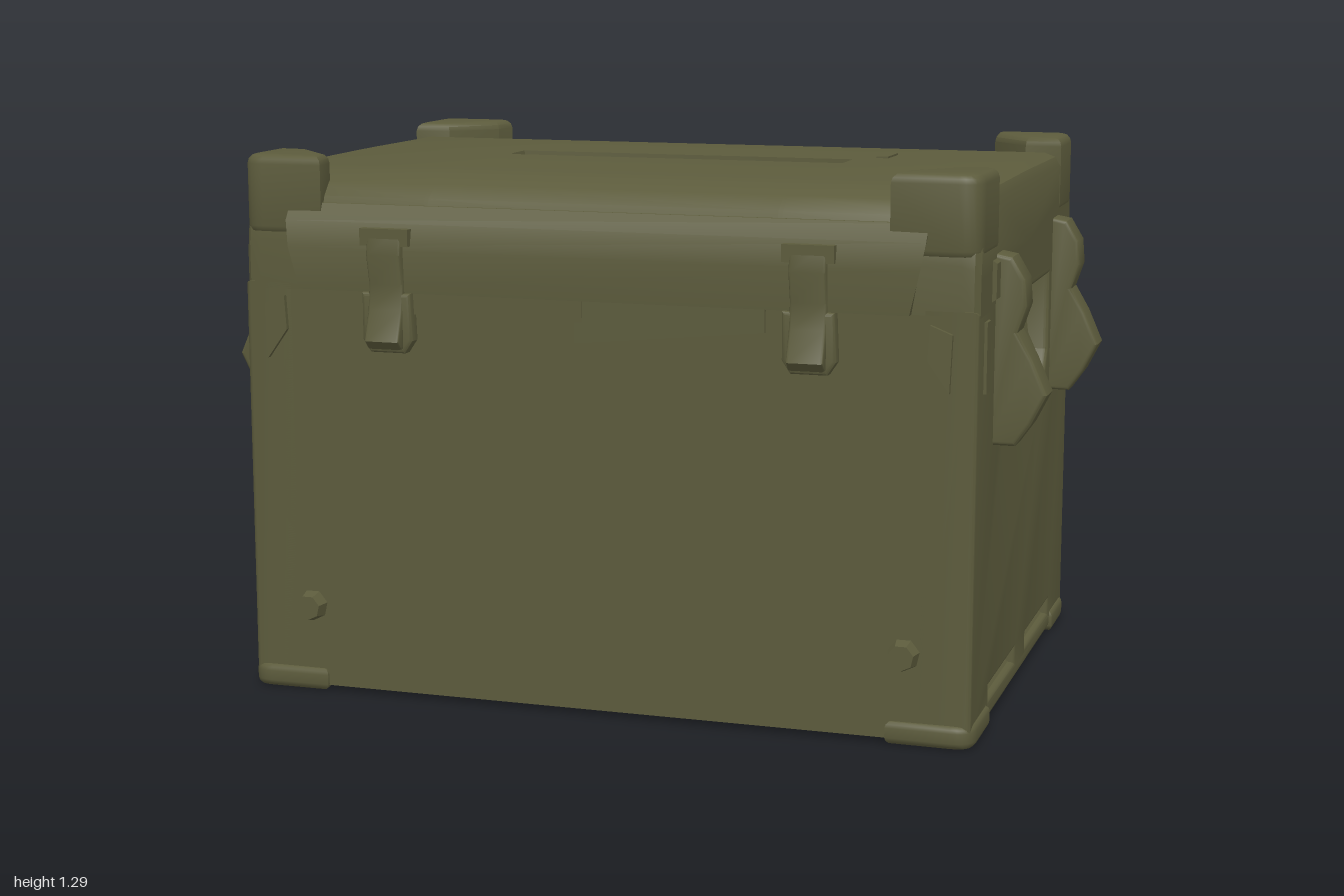
import * as THREE from 'three';
import { toCreasedNormals } from 'three/addons/utils/BufferGeometryUtils.js';

const olive = new THREE.MeshStandardMaterial({ color: 0x5c5b3c });
olive.name = 'olive drab';

function add(parent, name, geometry) {
  const mesh = new THREE.Mesh(toCreasedNormals(geometry, 0.6), olive);
  mesh.name = name;
  parent.add(mesh);
  return mesh;
}

const vectors = (pts) => pts.map(([x, y]) => new THREE.Vector2(x, y));
const polygon = (pts) => new THREE.Shape(vectors(pts));

// Extrusion of an outline, centred on its depth, with an optional bevel kept inside the outline
function slab(shape, depth, bevel = 0) {
  return new THREE.ExtrudeGeometry(shape, {
    depth: depth - 2 * bevel, bevelEnabled: bevel > 0, bevelThickness: bevel,
    bevelSize: bevel, bevelOffset: -bevel, bevelSegments: 3, curveSegments: 6,
  }).translate(0, 0, bevel - depth / 2);
}

// Skin over cross-sections (loops of [x, y, z] with equal counts), closed at both ends
function loft(sections) {
  const n = sections[0].length, pos = [], idx = [];
  sections.forEach((s) => s.forEach((p) => pos.push(...p)));
  for (let s = 0; s < sections.length - 1; s++) {
    for (let i = 0; i < n; i++) {
      const a = s * n + i, b = s * n + (i + 1) % n;
      idx.push(a, a + n, b, b, a + n, b + n);
    }
  }
  [0, sections.length - 1].forEach((s) => {
    const c = pos.length / 3;
    pos.push(sections[s][0][0], 1.08, 0);
    for (let i = 0; i < n; i++) {
      const a = s * n + i, b = s * n + (i + 1) % n;
      if (s === 0) idx.push(c, a, b); else idx.push(c, b, a);
    }
  });
  const g = new THREE.BufferGeometry();
  g.setAttribute('position', new THREE.Float32BufferAttribute(pos, 3));
  g.setIndex(idx);
  g.computeVertexNormals();
  return g;
}

// Lid section at x; the middle carries the grip groove
function lidSection(x, inset, drop, grooved) {
  const d = grooved ? 0.05 : 0;
  const half = [[0.62, 0.975], [0.62, 1.09], [0.612, 1.15], [0.59, 1.195], [0.55, 1.225], [0.49, 1.245], [0.42, 1.253]];
  const top = [[0.05, 1.255], [0.03, 1.255 - d * 0.4], [-0.055, 1.255 - d], [-0.06, 1.255]];
  const back = half.slice().reverse().map(([z, y]) => [-z, y]);
  return [...half, ...top, ...back].map(([z, y]) =>
    [x, y > 1 ? y - drop : y, z - Math.sign(z) * (Math.abs(z) > 0.4 ? inset : 0)]);
}

// Mirror a corner part into any of the four corners, keeping the faces outward
function toCorner(g, sx, sz) {
  const c = g.clone().scale(sx, 1, sz);
  if (sx * sz < 0) {
    const p = c.attributes.position;
    for (let i = 0; i < p.count; i += 3) {
      const a = new THREE.Vector3().fromBufferAttribute(p, i + 1);
      const b = new THREE.Vector3().fromBufferAttribute(p, i + 2);
      p.setXYZ(i + 1, b.x, b.y, b.z);
      p.setXYZ(i + 2, a.x, a.y, a.z);
    }
  }
  return c;
}

export function createModel() {
  const model = new THREE.Group();
  model.name = 'coolerBox';

  // Body core and the two end walls with their pockets
  add(model, 'bodyCore', new THREE.BoxGeometry(1.62, 0.967, 1.24).translate(0, 0.4965, 0));
  const wall = polygon([[-0.62, 0.013], [0.62, 0.013], [0.62, 0.99], [-0.62, 0.99]]);
  wall.holes.push(new THREE.Path(vectors(
    [[-0.27, 0.722], [-0.3, 0.77], [-0.3, 0.96], [0.3, 0.96], [0.3, 0.77], [0.27, 0.722]])));
  [-1, 1].forEach((s) => wall.holes.push(new THREE.Path(vectors(
    [[s * 0.072, 0.055], [s * 0.072, 0.09], [s * 0.408, 0.09], [s * 0.408, 0.055]]))));

  [1, -1].forEach((side) => {
    const end = new THREE.Group();
    end.name = side > 0 ? 'leftEnd' : 'rightEnd';
    end.rotation.y = side > 0 ? 0 : Math.PI;
    model.add(end);
    add(end, 'endWall', slab(wall, 0.13, 0.012).rotateY(Math.PI / 2).translate(0.815, 0, 0));

    // Sloping floors of the grip pocket and the two lower slots
    add(end, 'pocketFloor', slab(polygon([[0.80, 0.70], [0.875, 0.712], [0.83, 0.81], [0.812, 0.95], [0.80, 0.95]]), 0.61));
    [-1, 1].forEach((s) => {
      add(end, 'slotFloor', slab(polygon([[0.80, 0.03], [0.875, 0.04], [0.825, 0.10], [0.80, 0.10]]), 0.35)
        .translate(0, 0, s * 0.24));

      // Bracket with a bulging top and a flared lower lobe
      add(end, 'handleBracket', slab(polygon([[0.86, 0.66], [0.93, 0.66], [0.965, 0.71], [1.0, 0.78], [0.965, 0.86],
        [0.93, 0.92], [0.95, 0.98], [0.945, 1.04], [0.915, 1.09], [0.86, 1.10]]), 0.09, 0.01)
        .translate(0, 0, s * 0.38));
      add(end, 'bracketPlate', slab(polygon([[0.86, 0.98], [0.89, 1.0], [0.89, 1.08], [0.86, 1.1]]), 0.06)
        .translate(0, 0, s * 0.44));
      // Narrow raised rib near the upright edge
      add(end, 'sideRib', new THREE.BoxGeometry(0.02, 0.16, 0.045).translate(0.877, 0.88, s * 0.53));
    });
  });

  // Lid
  add(model, 'lid', loft([
    lidSection(-0.88, 0.02, 0.03, false), lidSection(-0.868, 0.006, 0.01, false), lidSection(-0.84, 0, 0, false),
    lidSection(-0.43, 0, 0, false), lidSection(-0.42, 0, 0, true),
    lidSection(0.42, 0, 0, true), lidSection(0.43, 0, 0, false),
    lidSection(0.84, 0, 0, false), lidSection(0.868, 0.006, 0.01, false), lidSection(0.88, 0.02, 0.03, false),
  ]));
  // Raised tab behind the end of the grip groove
  add(model, 'gripTab', new THREE.BoxGeometry(0.03, 0.012, 0.11).translate(0.49, 1.253, -0.17));

  // Corner guards on the lid and feet below
  const corner = polygon([[0.68, 0.62], [0.69, 0.545], [0.79, 0.43], [0.882, 0.42], [0.882, 0.57]]);
  corner.quadraticCurveTo(0.882, 0.622, 0.83, 0.622);
  const guard = slab(corner, 0.19, 0.022).rotateX(Math.PI / 2).translate(0, 1.195, 0);
  const foot = slab(corner, 0.055, 0.016).rotateX(Math.PI / 2).translate(0.006, 0.0275, 0.01);
  [-1, 1].forEach((sx) => [-1, 1].forEach((sz) => {
    add(model, 'cornerGuard', toCorner(guard, sx, sz));
    add(model, 'cornerFoot', toCorner(foot, sx, sz));
  }));

  // Lip along the lid edge, widening towards the top
  const lip = slab(polygon([[-0.60, 0.98], [-0.642, 0.98], [-0.648, 1.08], [-0.635, 1.14], [-0.608, 1.18], [-0.58, 1.18]]), 1.46)
    .rotateY(Math.PI / 2);
  const lipPos = lip.attributes.position;
  for (let i = 0; i < lipPos.count; i++) {
    lipPos.setX(i, lipPos.getX(i) * (1 + 0.33 * Math.min(lipPos.getY(i) - 0.98, 0.14)));
  }
  const latchProfile = polygon([[-0.60, 0.85], [-0.665, 0.85], [-0.685, 0.87], [-0.66, 0.94], [-0.652, 1.0],
    [-0.668, 1.07], [-0.655, 1.13], [-0.60, 1.13]]);

  // Front and back fittings
  ['front', 'back'].forEach((name, i) => {
    const face = new THREE.Group();
    face.name = name + 'Fittings';
    face.rotation.y = i * Math.PI;
    model.add(face);
    add(face, 'lidLip', lip);
    // Seal wedges showing under the lip
    add(face, 'sealLeft', slab(polygon([[-0.45, 0.93], [-0.03, 0.93], [-0.03, 0.985], [-0.45, 0.985]]), 0.026)
      .translate(0, 0, 0.62));
    add(face, 'sealRight', slab(polygon([[-0.05, 0.88], [0.4, 0.925], [0.4, 0.985], [-0.05, 0.985]]), 0.02)
      .translate(0, 0, 0.62));
    [-1, 1].forEach((s) => {
      const latch = new THREE.Group();
      latch.name = 'latch';
      latch.position.x = s * 0.505;
      face.add(latch);
      add(latch, 'latchArm', slab(latchProfile, 0.085, 0.006).rotateY(Math.PI / 2));
      add(latch, 'latchPlate', slab(polygon([[-0.06, 1.09], [0.06, 1.09], [0.06, 1.13], [-0.06, 1.13]]), 0.03)
        .translate(0, 0, 0.645));
      add(latch, 'latchPull', slab(polygon([[-0.04, 0.84], [0.045, 0.84], [0.065, 0.87], [0.06, 0.98], [-0.06, 0.98], [-0.06, 0.87]]),
        0.04, 0.008).translate(0, 0, 0.635));
      // Slanted rib beside the latch and the rivet near the base
      add(face, 'cornerRib', slab(polygon([[s * 0.77, 0.88], [s * 0.82, 0.81], [s * 0.825, 0.94], [s * 0.775, 0.96]]), 0.024)
        .translate(0, 0, 0.62));
      add(face, 'rivet', new THREE.CylinderGeometry(0.03, 0.04, 0.04, 7).rotateX(Math.PI / 2).translate(s * 0.725, 0.21, 0.632));
    });
  });

  return model;
}
